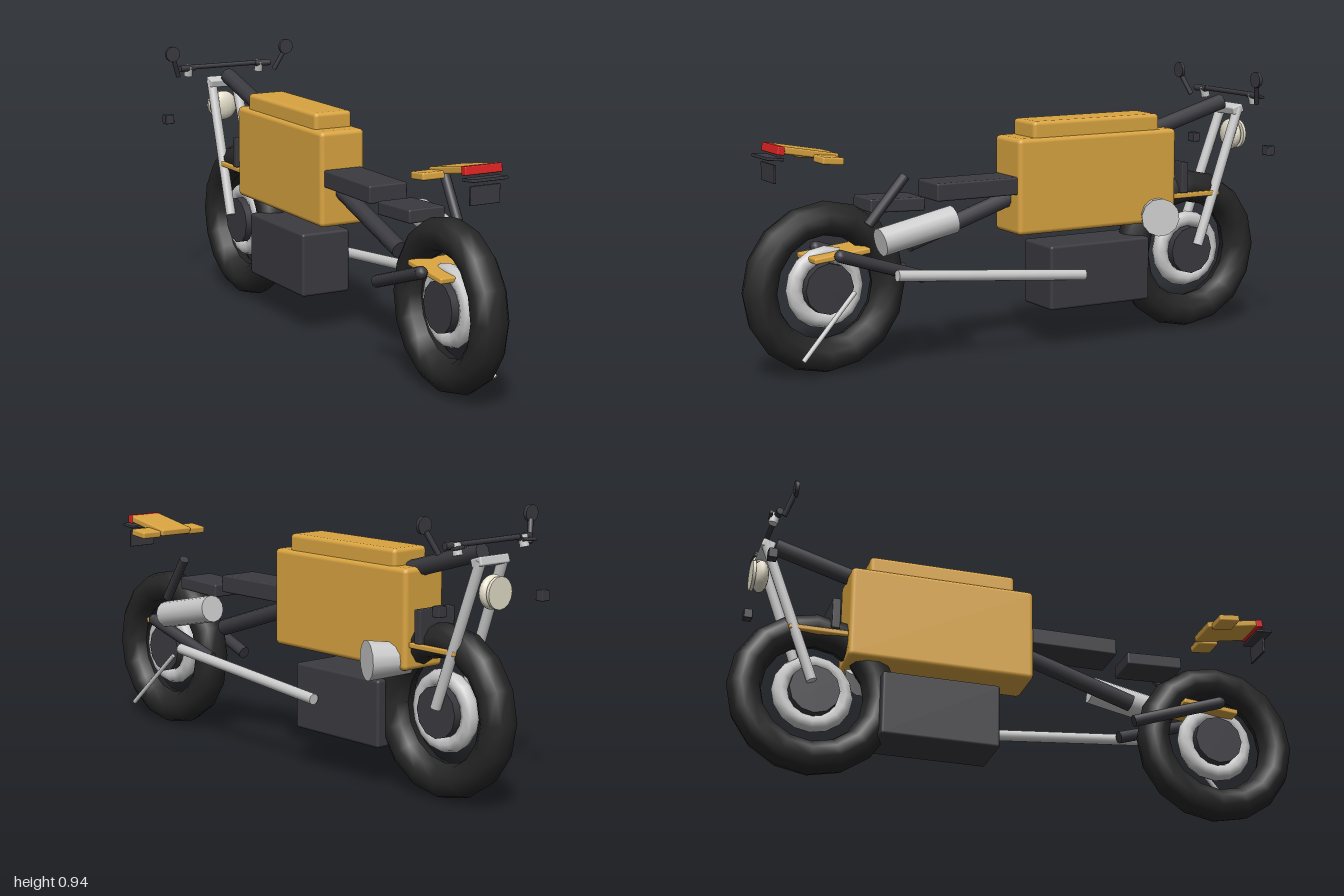
import * as THREE from 'three';
import { RoundedBoxGeometry } from 'three/addons/geometries/RoundedBoxGeometry.js';

const paint = (color) => new THREE.MeshStandardMaterial({ color });
const YELLOW = paint(0xd9a441);
const DARK = paint(0x3a3a40);
const BLACK = paint(0x262626);
const GREY = paint(0xcccccc);
const RED = paint(0xdd2222);
const CREAM = paint(0xe6e0cc);

export function createModel() {
  const bike = new THREE.Group();
  bike.name = 'motorcycle';

  function add(name, geometry, material, position = [0, 0, 0], rotation = [0, 0, 0], parent = bike) {
    const mesh = new THREE.Mesh(geometry, material);
    mesh.name = name;
    mesh.position.set(...position);
    mesh.rotation.set(...rotation);
    parent.add(mesh);
    return mesh;
  }

  // Box with softened edges, optionally pitched about x
  function block(name, material, size, position, pitch = 0, bevel = 0.006) {
    return add(name, new RoundedBoxGeometry(...size, 2, bevel), material, position, [pitch, 0, 0]);
  }

  // Straight round bar between two points
  function rod(name, material, from, to, radius, sides = 12, endRadius = radius) {
    const a = new THREE.Vector3(...from);
    const b = new THREE.Vector3(...to);
    const dir = b.clone().sub(a);
    const mesh = add(name, new THREE.CylinderGeometry(endRadius, radius, dir.length(), sides), material);
    mesh.position.copy(a).add(b).multiplyScalar(0.5);
    mesh.quaternion.setFromUnitVectors(new THREE.Vector3(0, 1, 0), dir.normalize());
    return mesh;
  }

  // Wheels: tyre, floating rim ring and hub, all turned about the x axis
  function wheel(name, z) {
    const group = new THREE.Group();
    group.name = name;
    group.position.set(0, 0.285, z);
    bike.add(group);
    const profile = [];
    for (let i = 0; i <= 10; i++) {
      const a = -(i / 10) * Math.PI * 2 + Math.PI;
      profile.push(new THREE.Vector2(0.228 + 0.057 * Math.cos(a), -0.062 * Math.sin(a)));
    }
    profile.reverse();
    // keep the section counter-clockwise so the faces look outward
    const area = profile.slice(1).reduce((s, p, i) => s + profile[i].cross(p), 0);
    if (area < 0) profile.reverse();
    add('tyre', new THREE.LatheGeometry(profile, 16), BLACK, [0, 0, 0], [0, 0, Math.PI / 2], group);
    add('rim', new THREE.TorusGeometry(0.108, 0.029, 8, 16), GREY, [0, 0, 0], [0, Math.PI / 2, 0], group);
    add('hub', new THREE.CylinderGeometry(0.085, 0.085, 0.09, 12), DARK, [0, 0, 0], [0, 0, Math.PI / 2], group);
  }
  wheel('rearWheel', 0.715);
  wheel('frontWheel', -0.71);

  // Main body
  block('tankBody', YELLOW, [0.17, 0.33, 0.64], [0, 0.57, -0.29], 0, 0.016);
  block('tankTop', YELLOW, [0.144, 0.09, 0.51], [0, 0.745, -0.29], 0, 0.014);
  block('engineBlock', DARK, [0.186, 0.225, 0.405], [0, 0.2475, -0.293], 0, 0.01);

  // Seats and frame tubes
  block('seat', DARK, [0.144, 0.06, 0.36], [0, 0.575, 0.155]);
  block('rearSeat', DARK, [0.134, 0.045, 0.2], [0, 0.545, 0.477], -0.04);
  rod('rearFrameTube', DARK, [0, 0.40, 0.41], [0, 0.54, -0.02], 0.029, 10);
  rod('neckTube', DARK, [0, 0.715, -0.53], [0, 0.81, -0.86], 0.029, 10);

  // Tail section with lamp and plate
  block('tailPanel', YELLOW, [0.13, 0.024, 0.2], [0, 0.735, 0.785], -0.18);
  block('tailLamp', RED, [0.134, 0.028, 0.026], [0, 0.75, 0.885], -0.15, 0.004);
  block('plateBracket', DARK, [0.13, 0.01, 0.06], [0, 0.724, 0.905], -0.1, 0.003);
  block('rearPlate', DARK, [0.108, 0.06, 0.008], [0, 0.675, 0.903], 0, 0.002);

  // Guards running through the wheels
  block('rearGuard', YELLOW, [0.15, 0.02, 0.2], [0, 0.395, 0.68], 0.1);
  block('frontGuard', YELLOW, [0.142, 0.018, 0.2], [0, 0.49, -0.71], 0, 0.005);
  block('frontGuardBrace', DARK, [0.154, 0.11, 0.028], [0, 0.555, -0.655], 0, 0.004);

  // Parts mirrored on both sides
  for (const [side, s] of [['left', 1], ['right', -1]]) {
    block(side + 'TailWing', YELLOW, [0.08, 0.024, 0.075], [s * 0.1, 0.716, 0.738], -0.1);
    rod(side + 'SwingArm', DARK, [s * 0.075, 0.30, 0.39], [s * 0.097, 0.40, 0.70], 0.021);
    add(side + 'SwingArmEnd', new THREE.SphereGeometry(0.021, 12, 8), DARK, [s * 0.097, 0.40, 0.70]);
    rod(side + 'Fork', GREY, [s * 0.06, 0.305, -0.725], [s * 0.05, 0.79, -0.90], 0.018);
    rod(side + 'Grip', DARK, [s * 0.128, 0.845, -0.888], [s * 0.187, 0.845, -0.882], 0.012);
    rod(side + 'LeverMount', GREY, [s * 0.147, 0.815, -0.898], [s * 0.147, 0.853, -0.888], 0.016, 10);
    rod(side + 'Lever', DARK, [s * 0.13, 0.84, -0.905], [s * 0.185, 0.838, -0.91], 0.006, 8);
    rod(side + 'MirrorStem', DARK, [s * 0.2, 0.82, -0.87], [s * 0.23, 0.89, -0.845], 0.009, 8);
    rod(side + 'Mirror', DARK, [s * 0.235, 0.908, -0.847], [s * 0.235, 0.908, -0.835], 0.028, 14);
    block(side + 'Signal', DARK, [0.036, 0.034, 0.03], [s * 0.228, 0.655, -0.905], 0, 0.003);
  }

  // Handlebar, fork clamp and headlamp
  rod('handlebar', DARK, [-0.15, 0.847, -0.888], [0.15, 0.847, -0.888], 0.009, 10);
  block('forkClamp', GREY, [0.13, 0.03, 0.045], [0, 0.785, -0.893], 0.3);
  const lamp = add('headlamp', new THREE.SphereGeometry(0.055, 16, 12), CREAM, [0, 0.69, -0.905]);
  lamp.scale.z = 0.5;
  rod('headlampRim', CREAM, [0, 0.69, -0.927], [0, 0.69, -0.938], 0.052, 16);

  // Exhaust and left-hand fittings
  rod('exhaustPipe', GREY, [0.117, 0.255, -0.21], [0.122, 0.322, 0.51], 0.019);
  rod('muffler', GREY, [0.133, 0.495, 0.31], [0.133, 0.44, 0.575], 0.047, 14);
  rod('airIntake', GREY, [0.02, 0.435, -0.56], [0.15, 0.435, -0.502], 0.05, 12, 0.067);
  rod('rearDamper', DARK, [0.106, 0.495, 0.605], [0.125, 0.65, 0.48], 0.017);
  rod('kickstand', GREY, [0.062, 0.27, 0.635], [0.095, 0.068, 0.835], 0.008, 8);

  return bike;
}
